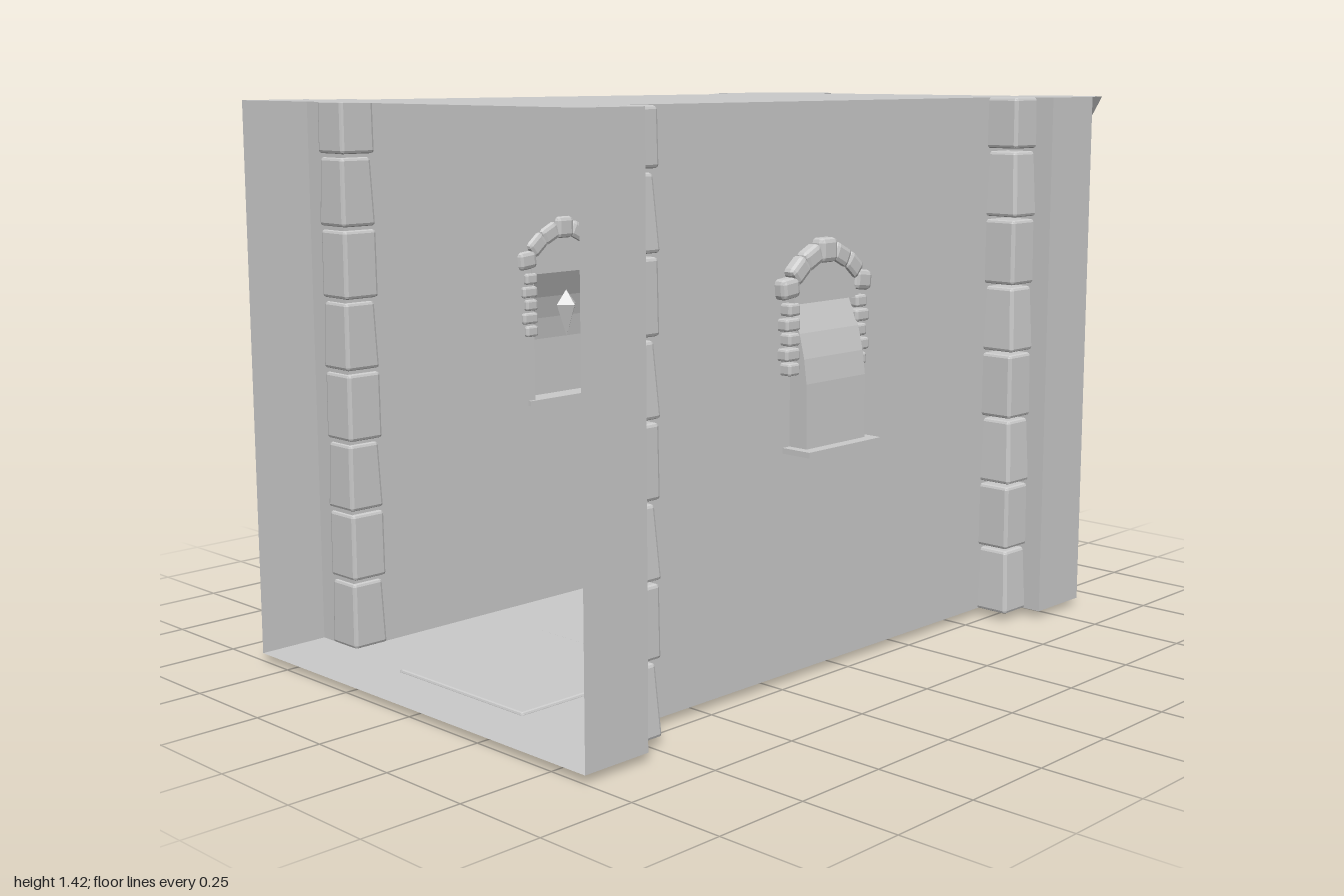
import * as THREE from 'three';
import { RoundedBoxGeometry } from 'three/addons/geometries/RoundedBoxGeometry.js';

const FLOOR = 0.02, TOP = 1.42;
const WALL = 0.467, OUTER = 0.608, FRONT = 1, BACK = -0.878;
const FLANGE_F = 0.813, FLANGE_B = -0.69;
const WIN_Z = 0.083, WIN_HALF = 0.11, WIN_LOW = 0.59, WIN_HIGH = 0.945;

const mat = new THREE.MeshStandardMaterial({ color: 0xcccccc, flatShading: true, side: THREE.DoubleSide });

function add(parent, name, geometry, x = 0, y = 0, z = 0) {
  const mesh = new THREE.Mesh(geometry, mat);
  mesh.name = name;
  mesh.position.set(x, y, z);
  parent.add(mesh);
  return mesh;
}

const shapeOf = (pts) => new THREE.Shape(pts.map(([x, y]) => new THREE.Vector2(x, y)));
const rect = (x0, y0, x1, y1) => shapeOf([[x0, y0], [x1, y0], [x1, y1], [x0, y1]]);

// Eight-sided turned part; widths are measured across the flats
function octagonal(profile) {
  const k = 1 / Math.cos(Math.PI / 8);
  const pts = profile.map(([r, y]) => new THREE.Vector2(r * k, y));
  return new THREE.LatheGeometry(pts, 8, Math.PI / 8);
}

// Corner stone, wider at its foot on the two outer faces (+x and -z)
function stoneGeometry(height, taper) {
  const geo = new RoundedBoxGeometry(0.103, height, 0.1, 1, 0.008);
  const p = geo.attributes.position;
  for (let i = 0; i < p.count; i++) {
    const cut = taper * (p.getY(i) / height + 0.5);
    if (p.getX(i) > 0) p.setX(i, p.getX(i) - cut);
    if (p.getZ(i) < 0) p.setZ(i, p.getZ(i) + cut);
  }
  return geo;
}

function cornerStones(name) {
  const g = new THREE.Group();
  g.name = name;
  for (let i = 0; i < 8; i++) {
    const low = FLOOR + i * 0.181;
    const high = Math.min(low + 0.172, TOP);
    const odd = i % 2;
    add(g, 'cornerStone', stoneGeometry(high - low, odd ? 0.002 : 0.011), odd ? -0.003 : 0, (low + high) / 2, 0);
  }
  return g;
}

// Niche window: bulging back panel, cheeks, sill, jamb stones and arch
function windowNiche() {
  const g = new THREE.Group();
  g.name = 'window';
  const profile = [[0.522, WIN_LOW], [0.52, 0.75], [0.512, 0.81], [0.497, 0.87], [WALL, WIN_HIGH]];
  const panel = new THREE.PlaneGeometry(1, 1, 1, profile.length - 1);
  const p = panel.attributes.position;
  for (let i = 0; i < p.count; i++) {
    const [x, y] = profile[profile.length - 1 - Math.floor(i / 2)];
    p.setXYZ(i, x, y, WIN_Z + (i % 2 ? -WIN_HALF : WIN_HALF));
  }
  add(g, 'nichePanel', panel);
  const cheek = new THREE.ShapeGeometry(shapeOf([[WALL, WIN_LOW], ...profile]));
  add(g, 'sill', new THREE.BoxGeometry(0.095, 0.014, 0.27), 0.505, 0.585, WIN_Z);

  for (const s of [-1, 1]) {
    add(g, 'nicheCheek', cheek, 0, 0, WIN_Z + s * WIN_HALF);
    for (let i = 0; i < 5; i++) {
      const w = i % 2 ? 0.05 : 0.04;
      add(g, 'jambStone', new RoundedBoxGeometry(0.042, 0.03, w, 1, 0.006),
        0.476, 0.785 + i * 0.036, WIN_Z + s * (WIN_HALF - 0.005 + w / 2));
    }
    // arch stones rising to the crown
    [[0.135, 0.98, 0.1], [0.098, 1.02, 0.7], [0.052, 1.048, 0.45]].forEach(([dz, y, tilt]) => {
      const stone = add(g, 'archStone', new RoundedBoxGeometry(0.042, 0.05, 0.062, 1, 0.012), 0.476, y, WIN_Z + s * dz);
      stone.rotation.x = s * tilt;
    });
  }
  add(g, 'keystone', new RoundedBoxGeometry(0.046, 0.06, 0.062, 1, 0.012), 0.476, 1.063, WIN_Z);
  const fill = shapeOf([[-0.12, 0.94], [0.12, 0.94], [0.12, 0.985], [0.06, 1.045], [-0.06, 1.045], [-0.12, 0.985]]);
  const fillGeo = new THREE.ExtrudeGeometry(fill, { depth: 0.025, bevelEnabled: false }).rotateY(-Math.PI / 2);
  add(g, 'archFill', fillGeo, 0.488, 0, WIN_Z);

  // pointed bracket on the room side
  const spike = add(g, 'wallBracket', new THREE.ConeGeometry(0.035, 0.09, 4), 0.458, 0.805, WIN_Z);
  spike.rotation.x = Math.PI;
  add(g, 'wallBracketTop', new THREE.ConeGeometry(0.035, 0.04, 4), 0.458, 0.87, WIN_Z);
  return g;
}

// One side of the room: wall, returns, stones, window, column
function roomSide(name) {
  const g = new THREE.Group();
  g.name = name;
  const h = TOP - FLOOR, mid = (TOP + FLOOR) / 2;

  const wall = rect(FLANGE_B, FLOOR, FLANGE_F, TOP);
  wall.holes.push(rect(WIN_Z - WIN_HALF, WIN_LOW, WIN_Z + WIN_HALF, WIN_HIGH));
  add(g, 'sideWall', new THREE.ShapeGeometry(wall).rotateY(-Math.PI / 2), WALL);

  for (const [edge, end] of [[FLANGE_F, FRONT], [FLANGE_B, BACK]]) {
    add(g, 'wallReturn', new THREE.PlaneGeometry(OUTER - WALL, h), (OUTER + WALL) / 2, mid, edge);
    add(g, 'endWall', new THREE.PlaneGeometry(Math.abs(end - edge), h).rotateY(Math.PI / 2), OUTER, mid, (edge + end) / 2);
  }

  const front = cornerStones('frontCornerStones');
  front.position.set(0.509, 0, 0.77);
  const back = cornerStones('backCornerStones');
  back.position.set(0.509, 0, -0.648);
  back.scale.z = -1;
  g.add(front, back, windowNiche());

  const column = octagonal([
    [0, 0.012], [0.08, 0.012], [0.08, 0.035], [0.087, 0.045], [0.087, 0.075], [0.082, 0.085],
    [0.087, 0.095], [0.087, 0.12], [0.083, 0.128], [0.083, 0.145], [0.079, 0.147],
    [0.079, 1.255], [0.086, 1.31], [0.102, 1.37], [0.125, TOP], [0, TOP],
  ]);
  add(g, 'column', column, 0.482, 0, -0.875);
  return g;
}

export function createModel() {
  const model = new THREE.Group();
  model.name = 'room';

  // floor and ceiling share one outline
  const half = [[OUTER, FRONT], [OUTER, FLANGE_F], [WALL, FLANGE_F], [WALL, FLANGE_B], [OUTER, FLANGE_B], [OUTER, BACK]];
  const outline = [...half, ...half.map(([x, z]) => [-x, z]).reverse()];
  const slab = new THREE.ShapeGeometry(shapeOf(outline)).rotateX(Math.PI / 2);
  add(model, 'floor', slab, 0, FLOOR, 0);
  add(model, 'ceiling', slab, 0, TOP, 0);

  const left = roomSide('leftSide');
  const right = roomSide('rightSide');
  right.scale.x = -1;
  model.add(left, right);

  // square mat set into the floor near the entrance
  add(model, 'floorMat', new RoundedBoxGeometry(0.465, 0.027, 0.465, 1, 0.006), -0.003, 0.0135, 0.618);

  // pedestal with a flared top
  const pedestal = octagonal([
    [0, 0.01], [0.083, 0.01], [0.083, 0.075], [0.094, 0.085], [0.094, 0.105], [0.085, 0.12],
    [0.075, 0.124], [0.075, 0.37], [0.108, 0.42], [0.186, 0.475], [0.186, 0.482], [0, 0.482],
  ]);
  add(model, 'pedestal', pedestal, 0, 0, 0.122);
  return model;
}
